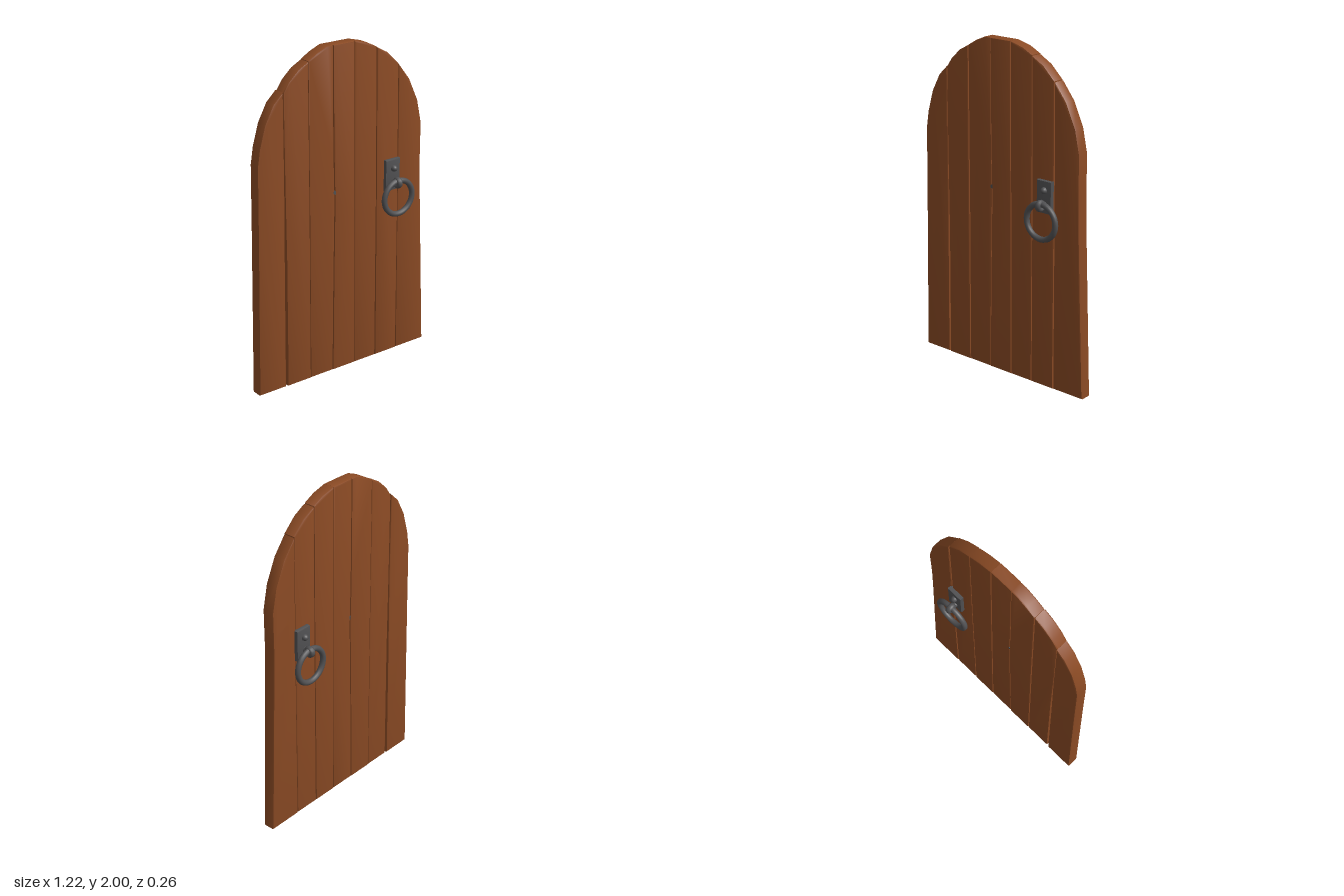
import * as THREE from 'three';
import { toCreasedNormals } from 'three/addons/utils/BufferGeometryUtils.js';

// Outline of each plank, counter-clockwise from bottom left, with its back z
const PLANKS = [
  { z: -0.041, pts: [[-0.612, 0], [-0.427, 0], [-0.421, 0.8], [-0.416, 1.27], [-0.417, 1.793], [-0.48, 1.735], [-0.537, 1.63], [-0.575, 1.5], [-0.591, 1.4], [-0.596, 1]] },
  { z: -0.038, pts: [[-0.415, 0], [-0.25, 0], [-0.248, 1], [-0.25, 1.935], [-0.315, 1.902], [-0.378, 1.845], [-0.416, 1.79], [-0.415, 1.27], [-0.411, 0.8]] },
  { z: -0.040, pts: [[-0.249, 0], [-0.088, 0], [-0.08, 0.6], [-0.071, 1.08], [-0.078, 1.4], [-0.08, 2], [-0.122, 2], [-0.19, 1.972], [-0.249, 1.938], [-0.247, 1]] },
  { z: -0.038, pts: [[-0.087, 0], [0.075, 0], [0.072, 1], [0.067, 2], [-0.08, 2], [-0.077, 1.4], [-0.07, 1.08], [-0.079, 0.6]] },
  { z: -0.039, pts: [[0.076, 0], [0.23, 0], [0.23, 1], [0.225, 1.942], [0.155, 1.977], [0.068, 2], [0.073, 1]] },
  { z: -0.038, pts: [[0.233, 0], [0.393, 0], [0.39, 1], [0.383, 1.82], [0.305, 1.895], [0.226, 1.938], [0.231, 1]] },
  { z: -0.040, pts: [[0.396, 0], [0.608, 0], [0.585, 0.55], [0.566, 1], [0.56, 1.2], [0.561, 1.43], [0.53, 1.575], [0.465, 1.715], [0.385, 1.815], [0.391, 1]] },
];

export function createModel() {
  const wood = new THREE.MeshStandardMaterial({ color: 0x8a4a24 });
  wood.name = 'brownWood';
  const iron = new THREE.MeshStandardMaterial({ color: 0x505052 });
  iron.name = 'darkIron';

  const door = new THREE.Group();
  door.name = 'archedDoor';

  const add = (parent, name, geometry, material, x = 0, y = 0, z = 0) => {
    const mesh = new THREE.Mesh(geometry, material);
    mesh.name = name;
    mesh.position.set(x, y, z);
    parent.add(mesh);
    return mesh;
  };

  // Planks with softened edges
  const bevel = 0.009;
  PLANKS.forEach(({ z, pts }, i) => {
    const shape = new THREE.Shape(pts.map(([x, y]) => new THREE.Vector2(x, y)));
    const geometry = new THREE.ExtrudeGeometry(shape, {
      depth: 0.076 - 2 * bevel,
      bevelEnabled: true,
      bevelThickness: bevel,
      bevelSize: bevel,
      bevelOffset: -bevel,
      bevelSegments: 2,
    });
    geometry.translate(0, 0, z + bevel);
    add(door, `plank${i + 1}`, toCreasedNormals(geometry, 0.6), wood);
  });

  // Small nail through the crack
  add(door, 'nail', new THREE.CylinderGeometry(0.012, 0.012, 0.074, 10).rotateX(Math.PI / 2), iron, -0.07, 1.135, 0);

  // Ring handle, built facing +z
  const handle = (name) => {
    const group = new THREE.Group();
    group.name = name;
    const plate = new THREE.Shape();
    plate.moveTo(-0.046, -0.089).lineTo(0.046, -0.089).lineTo(0.046, 0.089).lineTo(-0.046, 0.089).closePath();
    const plateGeometry = new THREE.ExtrudeGeometry(plate, {
      depth: 0.024, bevelThickness: 0.006, bevelSize: 0.006, bevelSegments: 2,
    });
    add(group, 'plate', toCreasedNormals(plateGeometry, 0.6), iron, 0.334, 1.16, 0.03);
    const dome = new THREE.SphereGeometry(0.02, 16, 8, 0, Math.PI * 2, 0, Math.PI / 2).rotateX(Math.PI / 2);
    add(group, 'stud', dome, iron, 0.338, 1.2, 0.06).scale.z = 1.2;
    add(group, 'stem', new THREE.CylinderGeometry(0.016, 0.018, 0.03, 12).rotateX(Math.PI / 2), iron, 0.34, 1.12, 0.066);
    const eye = new THREE.TorusGeometry(0.021, 0.014, 10, 20).rotateY(Math.PI / 2);
    add(group, 'eye', eye, iron, 0.34, 1.12, 0.096).scale.x = 1.3;
    add(group, 'ring', new THREE.TorusGeometry(0.103, 0.017, 12, 36), iron, 0.346, 1.028, 0.096);
    return group;
  };
  door.add(handle('frontHandle'));

  // Back handle: turned half round, shifted to sit on the same spot
  const back = handle('backHandle');
  back.rotation.y = Math.PI;
  back.position.set(0.682, 0, -0.003);
  door.add(back);

  return door;
}
